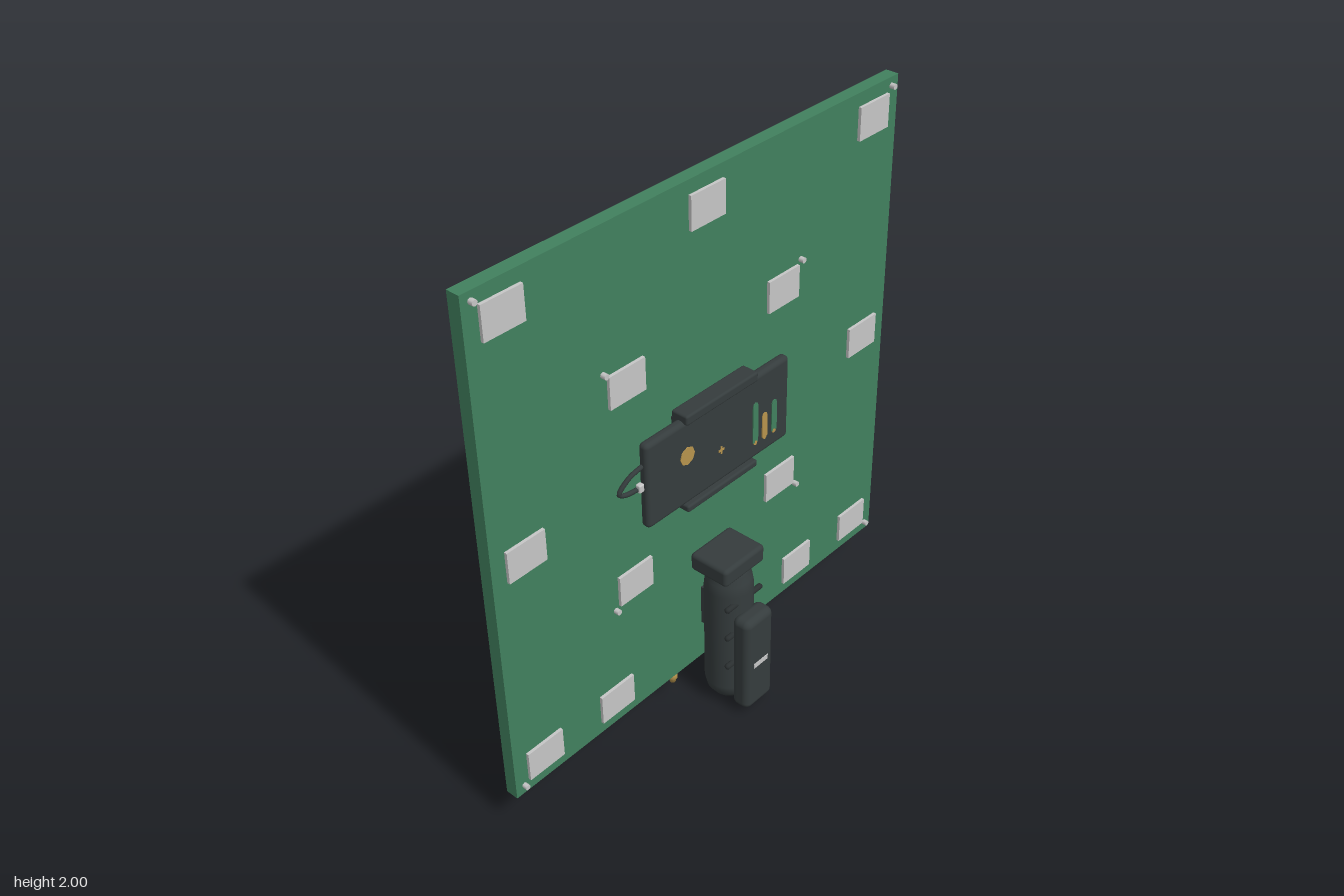
import * as THREE from 'three';
import { mergeGeometries } from 'three/addons/utils/BufferGeometryUtils.js';
import { RoundedBoxGeometry } from 'three/addons/geometries/RoundedBoxGeometry.js';

export function createModel() {
  const root = new THREE.Group();
  root.name = 'antennaPanel';
  const mat = (name, color) => {
    const m = new THREE.MeshStandardMaterial({ color });
    m.name = name;
    return m;
  };
  const green = mat('boardGreen', 0x41805e);
  const darkGreen = mat('darkGreen', 0x1f3823);
  const gold = mat('gold', 0xb6934c);
  const silver = mat('lightGrey', 0xc6c6c6);
  const black = mat('charcoal', 0x353c3d);
  const darkBlack = mat('darkCharcoal', 0x2a2f30);

  const add = (name, geo, material, x = 0, y = 0, z = 0, parent = root) => {
    const m = new THREE.Mesh(geo, material);
    m.name = name;
    m.position.set(x, y, z);
    parent.add(m);
    return m;
  };
  const group = (name) => {
    const g = new THREE.Group();
    g.name = name;
    root.add(g);
    return g;
  };
  const box = (w, h, d) => new THREE.BoxGeometry(w, h, d);
  const disc = (r, d, n) => new THREE.CylinderGeometry(r, r, d, n).rotateX(Math.PI / 2);

  // Main board
  const CY = 1.0725;
  add('board', box(1.86, 1.855, 0.048), green, 0, CY, -0.112);

  // Back face: dark field, grey border and a grid of corner-cut patches
  const back = group('backFace');
  add('backField', box(1.76, 1.76, 0.002), darkGreen, 0, CY, -0.1365, back);
  const frame = new THREE.Shape();
  const square = (path, s) => path.moveTo(-s, -s).lineTo(s, -s).lineTo(s, s).lineTo(-s, s).closePath();
  square(frame, 0.9);
  const hole = new THREE.Path();
  square(hole, 0.878);
  frame.holes.push(hole);
  add('backBorder', new THREE.ExtrudeGeometry(frame, { depth: 0.003, bevelEnabled: false }), silver, 0, CY, -0.139, back);

  const h = 0.028, c = 0.018;
  const patch = new THREE.Shape();
  patch.moveTo(-h + c, -h).lineTo(h, -h).lineTo(h, h - c).lineTo(h - c, h).lineTo(-h, h).lineTo(-h, -h + c).closePath();
  const patchGeo = new THREE.ExtrudeGeometry(patch, { depth: 0.004, bevelEnabled: false });
  const patches = [];
  for (let i = 0; i < 16; i++) for (let j = 0; j < 16; j++) {
    patches.push(patchGeo.clone().translate((i - 7.5) * 0.1125, (j - 7.5) * 0.1125, 0));
  }
  add('antennaPatches', mergeGeometries(patches), gold, 0, CY, -0.141, back);

  // Partial printed outline and sensor button on the back
  add('outlineSide', box(0.012, 0.86, 0.002), silver, -0.43, CY, -0.1375, back);
  add('outlineTop', box(0.5, 0.008, 0.002), silver, -0.18, CY + 0.43, -0.1372, back);
  add('outlineBottom', box(0.33, 0.01, 0.002), silver, -0.265, CY - 0.43, -0.1375, back);
  add('backButton', disc(0.025, 0.012, 12), black, 0.22, 1.18, -0.139, back);

  // Raised light plates on the front
  const plates = group('frontPlates');
  const plateAt = [[0.8, 1.895], [0.8, 1.075], [0.36, 1.455], [0.36, 0.695], [0.8, 0.25], [0.47, 0.25]];
  const plateGeo = box(0.15, 0.115, 0.012);
  add('plate', plateGeo, silver, 0, 1.895, -0.083, plates);
  for (const [x, y] of plateAt) for (const s of [-1, 1]) add('plate', plateGeo, silver, s * x, y, -0.083, plates);

  // Screws
  const screws = group('screws');
  for (const [x, y] of [[0.895, 1.97], [0.895, 0.18], [0.45, 1.525], [0.45, 0.625]])
    for (const s of [-1, 1]) add('screw', disc(0.01, 0.02, 8), silver, s * x, y, -0.08, screws);

  // Central control unit with clips
  const unit = group('controlUnit');
  add('unitBody', new RoundedBoxGeometry(0.68, 0.32, 0.038, 3, 0.016), black, 0, 1.075, -0.052, unit);
  add('unitMount', box(0.34, 0.32, 0.03), black, 0, 1.075, -0.078, unit);
  add('clip', new RoundedBoxGeometry(0.34, 0.036, 0.066, 2, 0.008), black, 0, 1.242, -0.055, unit);
  add('clip', new RoundedBoxGeometry(0.34, 0.026, 0.066, 2, 0.008), black, 0, 0.9, -0.055, unit);
  add('dial', disc(0.033, 0.004, 8), gold, -0.16, 1.105, -0.032, unit);
  add('crossBar', box(0.028, 0.007, 0.003), gold, 0, 1.04, -0.032, unit);
  add('crossBar', box(0.007, 0.028, 0.003), gold, 0, 1.04, -0.032, unit);
  for (const [x, top, m] of [[0.168, 1.125, green], [0.215, 1.063, gold], [0.263, 1.09, green]]) {
    add('levelBar', box(0.026, top - 0.98, 0.004), m, x, (top + 0.98) / 2, -0.032, unit);
    add('levelTip', disc(0.012, 0.003, 8), m, x, top, -0.032, unit);
    add('levelFoot', disc(0.009, 0.004, 8), gold, x, 0.978, -0.032, unit);
  }

  // Cable loop and plug
  const cable = new THREE.CatmullRomCurve3([
    [-0.33, 1.155, -0.055], [-0.39, 1.13, -0.064], [-0.425, 1.085, -0.072], [-0.4, 1.072, -0.068], [-0.34, 1.077, -0.055],
  ].map((p) => new THREE.Vector3(...p)));
  add('cable', new THREE.TubeGeometry(cable, 24, 0.008, 8), black, 0, 0, 0, unit);
  add('plug', new RoundedBoxGeometry(0.022, 0.03, 0.02, 2, 0.005), silver, -0.35, 1.077, -0.056, unit);

  // Grip: rounded body, cap, front cover and side ridges
  const grip = group('grip');
  const profile = [[0, 0], [0.03, 0.005], [0.058, 0.022], [0.078, 0.05], [0.086, 0.085], [0.086, 0.5], [0.08, 0.54], [0.068, 0.565], [0.066, 0.6], [0, 0.6]];
  add('gripBody', new THREE.LatheGeometry(profile.map((p) => new THREE.Vector2(...p)), 32), black, 0, 0, 0, grip);
  add('gripCap', new RoundedBoxGeometry(0.2, 0.07, 0.16, 3, 0.015), black, 0, 0.61, -0.006, grip);
  add('gripCover', new RoundedBoxGeometry(0.14, 0.4, 0.075, 4, 0.026), black, 0, 0.23, 0.107, grip);
  add('gripLabel', box(0.072, 0.02, 0.004), silver, 0, 0.225, 0.1445, grip);
  const ridge = new THREE.CapsuleGeometry(0.011, 0.04, 4, 10).rotateZ(Math.PI / 2);
  for (const y of [0.21, 0.34, 0.467]) for (const s of [-1, 1]) add('ridge', ridge, darkBlack, s * 0.062, y, 0.066, grip);
  add('gripMount', box(0.09, 0.16, 0.05), black, 0, 0.38, -0.068, grip);
  add('goldPost', disc(0.025, 0.03, 12), gold, 0, 0.545, -0.078, grip);

  // Gold connectors under the board
  const plugProfile = [[0, 0.095], [0.011, 0.095], [0.012, 0.108], [0.018, 0.114], [0.018, 0.13], [0.012, 0.136], [0.012, 0.15]];
  const plugGeo = new THREE.LatheGeometry(plugProfile.map((p) => new THREE.Vector2(...p)), 12);
  for (const s of [-1, 1]) add('connector', plugGeo, gold, s * 0.172, 0, -0.112);

  return root;
}
